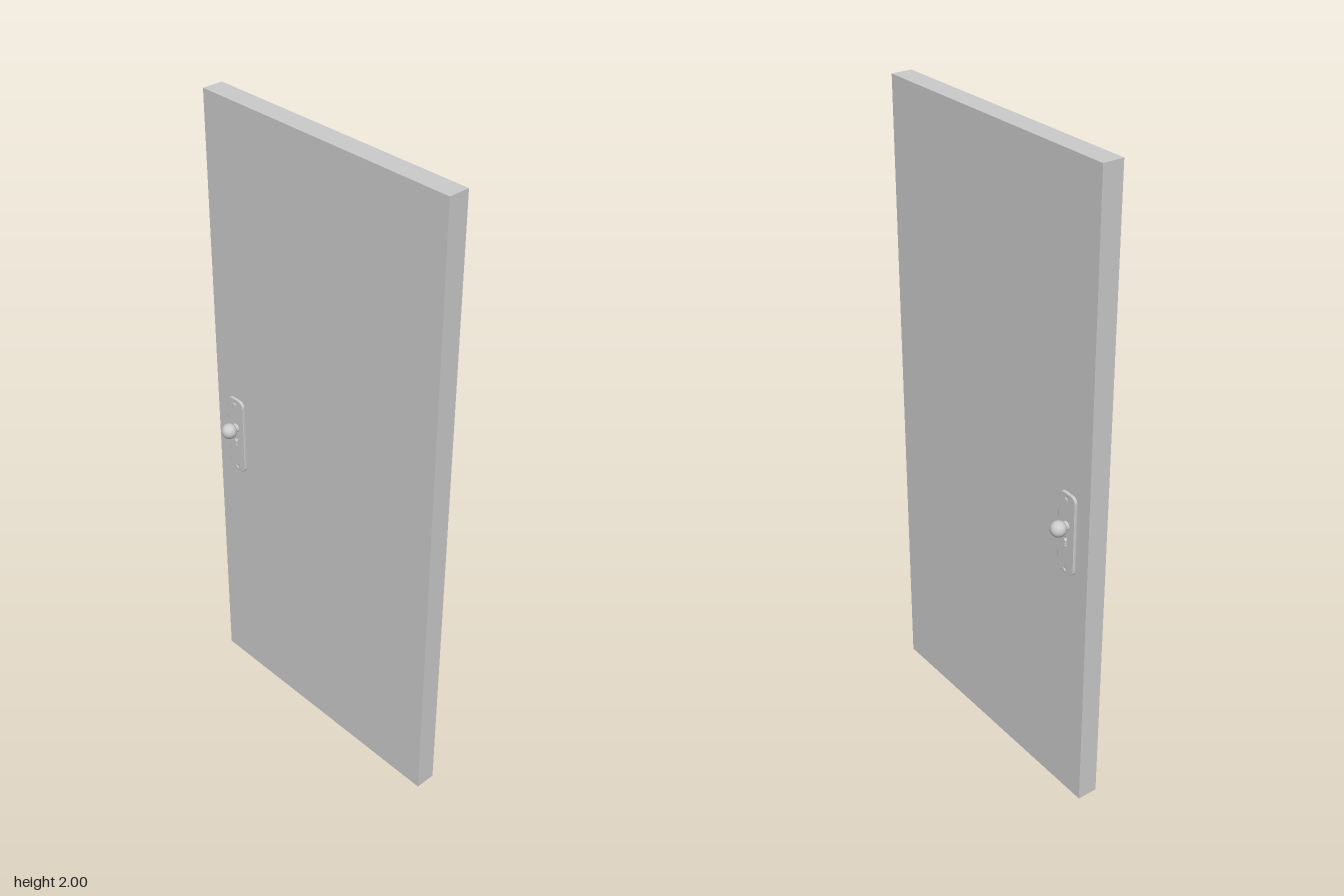
import * as THREE from 'three';

const material = new THREE.MeshStandardMaterial({ color: 0xcccccc });
const DOOR = { width: 0.9, height: 2, depth: 0.065 };
const HANDLE_X = -0.363;
const PLATE = { width: 0.07, bottom: 0.79, top: 1.05, depth: 0.008, radius: 0.018 };
const KNOB_Y = 0.947;
const KEY_Y = 0.902;
const SCREW_YS = [0.803, 1.035];

function addMesh(parent, name, geometry, x = 0, y = 0, z = 0) {
  const mesh = new THREE.Mesh(geometry, material);
  mesh.name = name;
  mesh.position.set(x, y, z);
  parent.add(mesh);
  return mesh;
}

// Rounded plate outline with a keyhole and two screw holes
function plateShape() {
  const bevel = 0.002;
  const w = PLATE.width / 2 - bevel, b = PLATE.bottom + bevel, t = PLATE.top - bevel, r = PLATE.radius;
  const shape = new THREE.Shape();
  shape.absarc(w - r, b + r, r, -Math.PI / 2, 0);
  shape.absarc(w - r, t - r, r, 0, Math.PI / 2);
  shape.absarc(-w + r, t - r, r, Math.PI / 2, Math.PI);
  shape.absarc(-w + r, b + r, r, Math.PI, Math.PI * 1.5);
  shape.closePath();

  const key = new THREE.Path();
  key.absarc(0, KEY_Y, 0.009, -Math.PI * 0.35, Math.PI * 1.35);
  key.lineTo(-0.004, KEY_Y - 0.024);
  key.lineTo(0.004, KEY_Y - 0.024);
  key.closePath();
  shape.holes.push(key);

  for (const y of SCREW_YS) shape.holes.push(new THREE.Path().absarc(0, y, 0.008, 0, Math.PI * 2));
  return shape;
}

// Plate, screws, neck and ball knob for one face, pointing along +z
function createHandle(name) {
  const handle = new THREE.Group();
  handle.name = name;

  const plate = new THREE.ExtrudeGeometry(plateShape(), {
    depth: PLATE.depth - 0.002, bevelEnabled: true, bevelThickness: 0.002,
    bevelSize: 0.002, bevelSegments: 2, curveSegments: 12,
  });
  addMesh(handle, 'backPlate', plate);

  for (const y of SCREW_YS) {
    const screw = new THREE.CylinderGeometry(0.006, 0.006, 0.005, 20).rotateX(Math.PI / 2);
    addMesh(handle, 'screw', screw, 0, y, 0.0025);
  }

  // Flared neck, turned around the knob axis
  const profile = [[0.014, 0.006], [0.014, 0.011], [0.012, 0.013], [0.009, 0.016], [0.009, 0.022]];
  const neck = new THREE.LatheGeometry(profile.map(([r, h]) => new THREE.Vector2(r, h)), 32);
  addMesh(handle, 'knobNeck', neck.rotateX(Math.PI / 2), 0, KNOB_Y);
  addMesh(handle, 'knob', new THREE.SphereGeometry(0.024, 32, 24), 0, KNOB_Y, 0.0355);
  return handle;
}

export function createModel() {
  const model = new THREE.Group();
  model.name = 'door';

  const panel = new THREE.BoxGeometry(DOOR.width, DOOR.height, DOOR.depth);
  addMesh(model, 'doorPanel', panel, 0, DOOR.height / 2, 0);

  const front = createHandle('frontHandle');
  front.position.set(HANDLE_X, 0, DOOR.depth / 2);
  const back = createHandle('backHandle');
  back.position.set(HANDLE_X, 0, -DOOR.depth / 2);
  back.rotation.y = Math.PI;
  model.add(front, back);
  return model;
}
